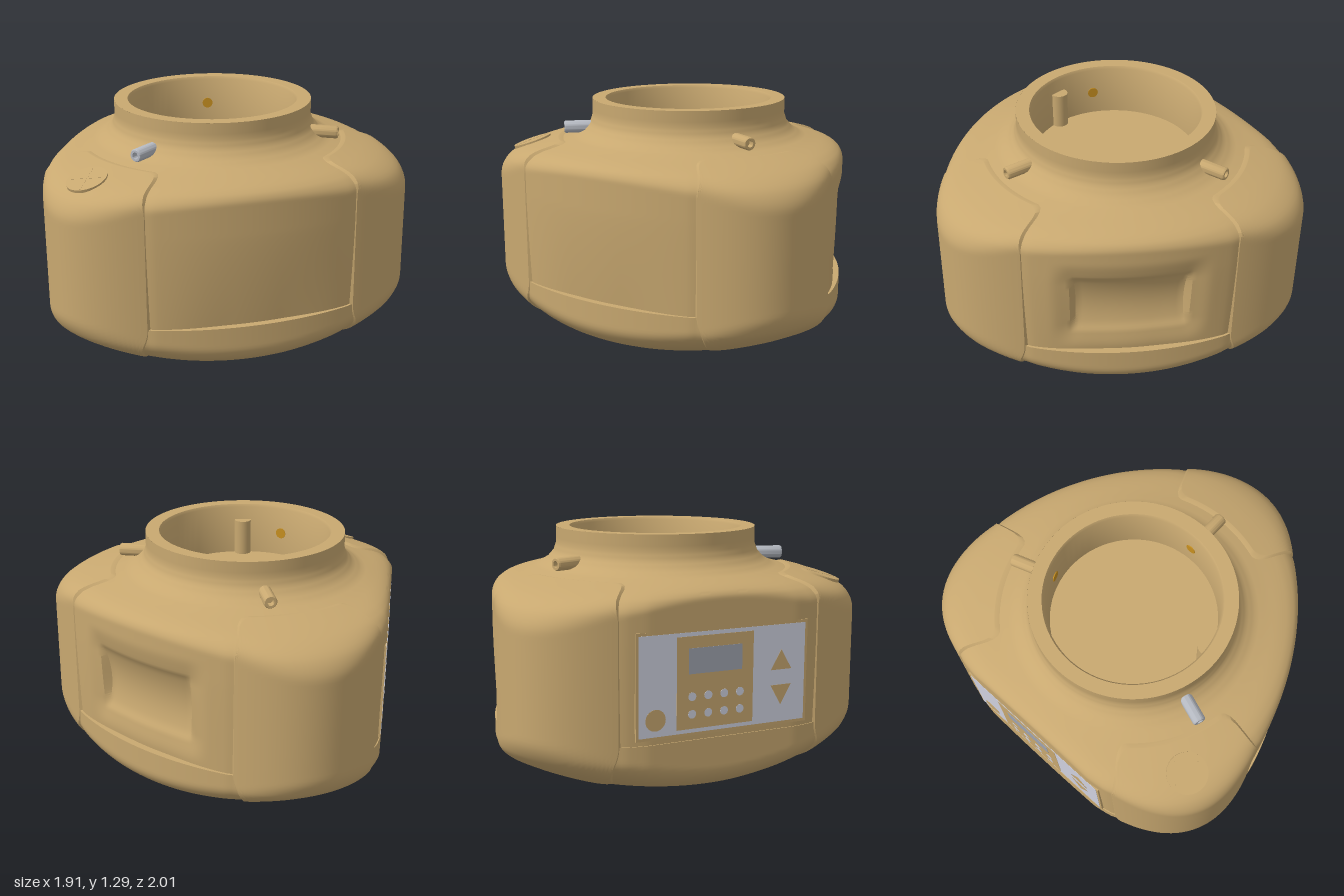
import * as THREE from 'three';
import { mergeVertices, toCreasedNormals } from 'three/addons/utils/BufferGeometryUtils.js';

const CX = -0.145; // axis of the collar and base
const rad = THREE.MathUtils.degToRad;
const smooth = THREE.MathUtils.smoothstep;
const mat = (color) => new THREE.MeshStandardMaterial({ color, side: THREE.DoubleSide });

// Revolved envelope: radius, height
const PROFILE = [
  [0.66, 0], [0.7, 0.008], [0.75, 0.03], [0.82, 0.062], [0.9, 0.102], [0.98, 0.145], [1.07, 0.195], [1.13, 0.24], [1.2, 0.29],
  [1.26, 0.34], [1.26, 0.8], [1.2, 0.86], [1.13, 0.905], [1.065, 0.945], [1.0, 0.975], [0.93, 1.005],
  [0.86, 1.028], [0.79, 1.047], [0.72, 1.065], [0.65, 1.085], [0.6, 1.115], [0.565, 1.155], [0.55, 1.2], [0.55, 1.29],
];
function envelope(y) {
  for (let i = 1; i < PROFILE.length; i++) {
    const [r0, y0] = PROFILE[i - 1], [r1, y1] = PROFILE[i];
    if (y <= y1) return r0 + (r1 - r0) * (y - y0) / (y1 - y0);
  }
  return 0.55;
}
function softMin(a, b) {
  const k = 0.14, h = Math.max(k - Math.abs(a - b), 0) / k;
  return Math.min(a, b) - h * h * k / 4;
}
const tip = (s) => 1.095 - 1.32 * s * s; // corner outline across the pad

// Middle of the nearest side and the angle away from it
function sideAt(deg) {
  const mid = deg < 120 ? 60 : deg < 240 ? 180 : 300;
  return { off: deg - mid, mid };
}
// Rounded-triangle outline as a radius about the axis
function outline(deg) {
  const { off, mid } = sideAt(deg);
  const c = Math.abs(off);
  const phi = rad(60 - c), q = 1.32 * Math.sin(phi) ** 2;
  const cos = Math.cos(phi);
  const corner = q < 1e-6 ? 1.095 : (-cos + Math.sqrt(cos * cos + 4 * q * 1.095)) / (2 * q);
  if (mid === 180) return Math.min(corner, 0.815 / Math.cos(rad(off)));
  return c > 35.7 ? corner : 0.885 + 0.086 * (c / 35.7) ** 2;
}

// Surface from a rule over a grid
function grid(nu, nv, fn) {
  const pos = [], idx = [];
  for (let j = 0; j <= nv; j++) for (let i = 0; i <= nu; i++) pos.push(...fn(i, j));
  for (let j = 0; j < nv; j++) for (let i = 0; i < nu; i++) {
    const a = j * (nu + 1) + i, b = a + 1, c = a + nu + 1, d = c + 1;
    idx.push(a, c, b, b, c, d);
  }
  const g = new THREE.BufferGeometry();
  g.setAttribute('position', new THREE.Float32BufferAttribute(pos, 3));
  g.setIndex(idx);
  return toCreasedNormals(mergeVertices(g, 1e-5), 0.6);
}

// Shell with the ledge, tapered sides and one recessed grip
function bodyGeometry() {
  const rows = [];
  for (let i = 1; i < PROFILE.length; i++) {
    const y0 = PROFILE[i - 1][1], y1 = PROFILE[i][1];
    const n = y1 - y0 > 0.3 ? 36 : 3;
    for (let k = 0; k < n; k++) rows.push([y0 + (y1 - y0) * k / n, y0 >= 0.29]);
    if (y1 === 0.29) rows.push([0.29, false]);
  }
  rows.push([1.29, true]);
  const N = 288;
  return grid(N, rows.length - 1, (i, j) => {
    const [y, above] = rows[j];
    const deg = (i % N) * 360 / N;
    const { off, mid } = sideAt(deg);
    const c = Math.abs(off);
    let out = outline(deg) - 0.008 * smooth(c, 33, 37);
    if (above && y < 0.8) {
      const depth = mid === 180 ? 0.006 : 0.012 + 0.026 * (1 - smooth(c, 8, 36));
      out -= depth * ((0.8 - y) / 0.51) ** 1.5;
    }
    let r = softMin(out, envelope(y));
    if (mid === 300) { // grip: soft surround, upright ends and a hollow floor
      const s = Math.abs(Math.tan(rad(off)) * 0.85), h = Math.abs(y - 0.6);
      r -= 0.028 * (1 - smooth(s, 0.3, 0.44)) * (1 - smooth(h, 0.14, 0.3));
      const v = h / 0.19;
      if (v < 1) r -= (1 - smooth(s, 0.305, 0.325)) * 0.045 * (1 - v * v);
    }
    return [CX + r * Math.cos(rad(deg)), y, r * Math.sin(rad(deg))];
  });
}

// Corner pad: rounded rectangle projected onto the shell, with a skirt
function padGeometry() {
  const NU = 42, NV = 64;
  return grid(NU, NV, (i, j) => {
    const u = THREE.MathUtils.clamp((i - 1) / (NU - 2), 0, 1);
    const v = THREE.MathUtils.clamp((j - 1) / (NV - 2), 0, 1);
    const s = 0.4 * Math.sin((u - 0.5) * Math.PI), a = Math.abs(s);
    const arc = (x) => 1 - Math.sqrt(Math.max(0, 1 - Math.max(0, x) ** 2));
    const top = 1.06 - 0.15 * arc((a - 0.25) / 0.15);
    const low = 0.01 + 0.28 * arc((a - 0.1) / 0.3);
    const y = low + (top - low) * (0.5 - 0.5 * Math.cos(v * Math.PI));
    const R = envelope(y) + 0.008;
    let d = softMin(tip(s), Math.sqrt(R * R - s * s));
    const skirt = i === 0 || i === NU || j === 0 || j === NV;
    if (skirt) d -= 0.05;
    const lift = 0.01 * smooth(y, 0.85, 1.0) - 0.005 * (1 - smooth(y, 0.05, 0.2));
    return [d, skirt ? y : y + lift, s];
  });
}

export function createModel() {
  const model = new THREE.Group();
  const tan = mat(0xc8a870), silver = mat(0xb4b8c0), gold = mat(0xc89020);
  const plate = mat(0xd0d2e0), screenGrey = mat(0xa0a4b0);
  function add(name, geo, m, x = 0, y = 0, z = 0, parent = model) {
    const mesh = new THREE.Mesh(geo, m);
    mesh.name = name;
    mesh.position.set(x, y, z);
    parent.add(mesh);
    return mesh;
  }
  const lathe = (pts) => toCreasedNormals(
    new THREE.LatheGeometry(pts.map(([x, y]) => new THREE.Vector2(x, y)), 72), 0.6);

  add('bodyShell', bodyGeometry(), tan);
  const padGeo = padGeometry();
  for (const deg of [0, 120, 240]) add('cornerPad', padGeo, tan, CX).rotation.y = -rad(deg);

  // Collar bore and its locating peg
  add('collarBowl', lathe([[0, 1], [0.458, 1], [0.466, 1.275], [0.475, 1.29], [0.55, 1.29]]), tan, CX);
  add('locatingPeg', new THREE.CylinderGeometry(0.048, 0.048, 0.2, 24), tan, -0.065, 1.1, 0.445);

  // Clamping screws through the collar
  const screwGeo = lathe([[0, -0.09], [0.035, -0.09], [0.035, 0.08], [0.03, 0.088], [0.018, 0.088], [0.018, 0.05], [0, 0.05]]);
  for (const deg of [0, 109, 251]) {
    const screw = new THREE.Group();
    screw.name = 'clampScrew';
    screw.position.set(CX, 1.13, 0);
    screw.rotation.y = -rad(deg);
    model.add(screw);
    add('screwShank', screwGeo, deg === 109 ? silver : tan, 0.625, 0, 0, screw).rotation.z = -Math.PI / 2;
    add('screwTip', new THREE.CylinderGeometry(0.03, 0.03, 0.03, 20), gold, 0.472, 0, 0, screw).rotation.z = Math.PI / 2;
  }

  // Round level window on the front corner
  const level = new THREE.Group();
  level.name = 'levelWindow';
  level.position.set(-0.6, 1.021, 0.79);
  level.rotation.set(0, -rad(120), -rad(18), 'YXZ');
  model.add(level);
  add('levelDisc', new THREE.CylinderGeometry(0.11, 0.11, 0.016, 40), tan, 0, 0.002, 0, level);
  for (const a of [0, Math.PI / 2]) {
    add('levelCross', new THREE.BoxGeometry(0.2, 0.004, 0.006), tan, 0, 0.009, 0, level).rotation.y = a + 0.5;
  }

  // Flat underside disc with holes, each hole [x, z, radius x, radius z, turn, depth] closed by a cup
  function holedDisc(name, r, y, holes) {
    const shape = new THREE.Shape().absarc(0, 0, r, 0, Math.PI * 2);
    for (const [x, z, rx, rz, turn, depth] of holes) {
      shape.holes.push(new THREE.Path().absellipse(x, z, rx, rz, 0, Math.PI * 2, true, turn));
      const cup = add(name + 'Recess', lathe(depth > 0.09 ? [[1, 0], [1, 1]] : [[1, 0], [1, 1], [0, 1]]), tan, CX + x, y, z);
      cup.scale.set(rx, depth, rz);
      cup.rotation.y = -turn;
    }
    add(name, new THREE.ShapeGeometry(shape, 48), tan, CX, y).rotation.x = Math.PI / 2;
  }
  holedDisc('base', 0.66, 0, [
    [0, 0, 0.4, 0.4, 0, 0.1], [0.495, 0.29, 0.075, 0.075, 0, 0.05], [-0.23, 0.41, 0.012, 0.035, 0.53, 0.03],
  ]);
  const bolts = [80, 170, 260, 350].map((a) =>
    [0.33 * Math.cos(rad(a)), 0.33 * Math.sin(rad(a)), 0.035, 0.035, 0, 0.04]);
  holedDisc('recessFloor', 0.4, 0.1, [[0, 0, 0.085, 0.085, 0, 0.06], ...bolts]);

  // Control panel on the flat side
  const panel = new THREE.Group();
  panel.name = 'controlPanel';
  panel.position.set(-0.956, 0.585, 0);
  panel.rotation.y = -Math.PI / 2;
  model.add(panel);
  const block = (name, w, h, x, y, m, out) =>
    add(name, new THREE.BoxGeometry(w, h, 0.012), m, x, y, out, panel);
  block('panelFrame', 0.97, 0.54, 0, 0, tan, -0.003);
  block('panelPlate', 0.94, 0.51, 0, 0, plate, -0.001);
  block('keypad', 0.43, 0.47, -0.05, 0, tan, 0.0005);
  block('display', 0.3, 0.13, -0.05, 0.11, screenGrey, 0.002);
  for (const x of [-0.18, -0.09, 0, 0.09]) for (const y of [-0.07, -0.16]) {
    add('key', new THREE.CylinderGeometry(0.022, 0.022, 0.012, 20), plate, x, y, 0.002, panel).rotation.x = Math.PI / 2;
  }
  for (const dir of [1, -1]) {
    const arrow = add('arrowKey', new THREE.CylinderGeometry(0.07, 0.07, 0.012, 3), tan, 0.33, dir * 0.075 - 0.02, 0.0005, panel);
    arrow.rotation.set(Math.PI / 2, dir > 0 ? Math.PI : 0, 0);
  }
  add('powerKey', new THREE.CylinderGeometry(0.055, 0.055, 0.012, 32), tan, -0.38, -0.17, 0.0005, panel).rotation.x = Math.PI / 2;
  return model;
}
